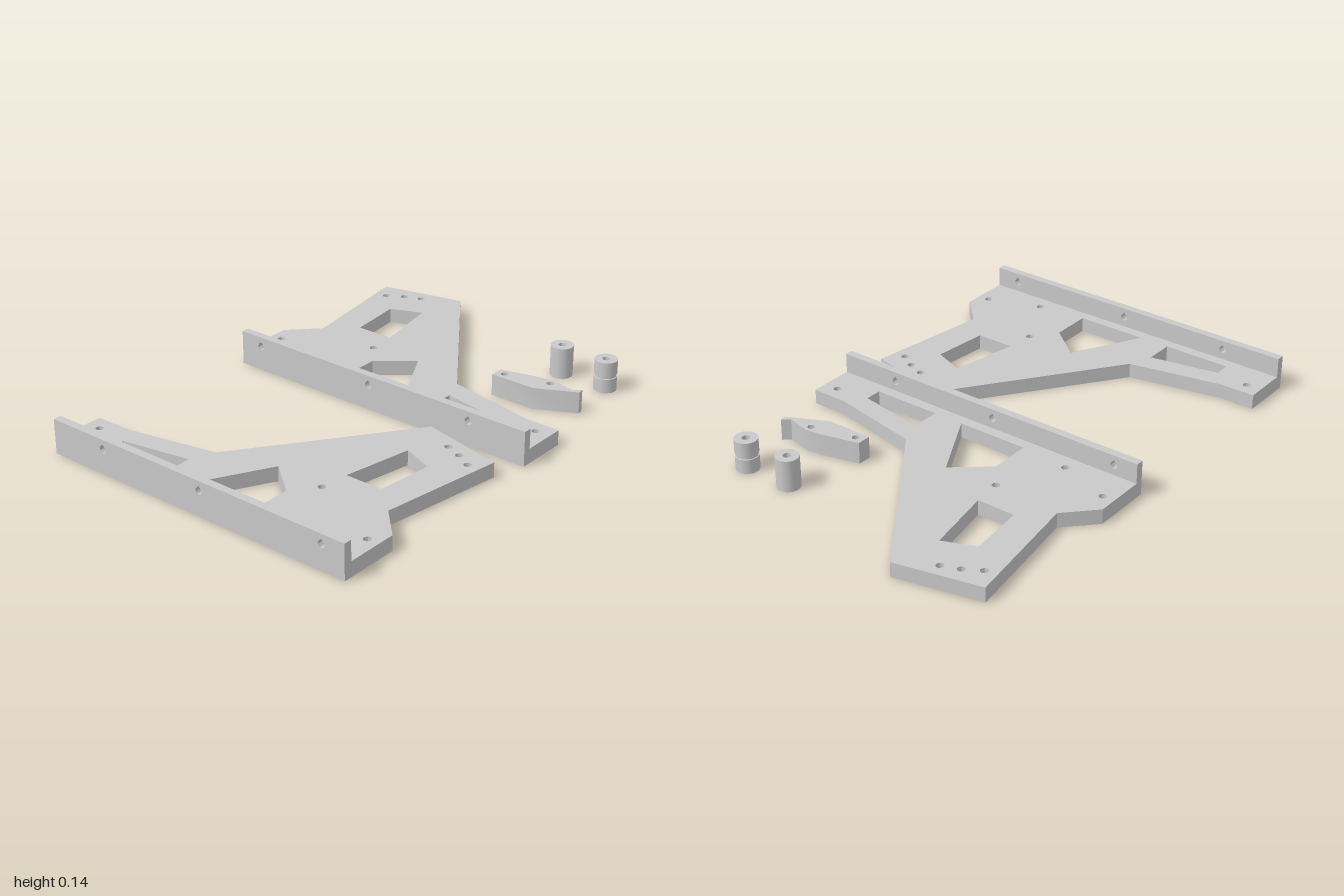
import * as THREE from 'three';
import { toCreasedNormals } from 'three/addons/utils/BufferGeometryUtils.js';

const PLATE = 0.062, FLANGE_H = 0.145, FLANGE_T = 0.034;
const Z_FRONT = -0.028;      // front face of the rear bracket
const PAIR_OFFSET = 1.028;   // distance between the two brackets

export function createModel() {
  const grey = new THREE.MeshStandardMaterial({ color: 0xc9c9c9 });
  grey.name = 'grey plastic';
  const model = new THREE.Group();
  model.name = 'bracketSet';

  const add = (parent, name, geometry) => {
    const mesh = new THREE.Mesh(toCreasedNormals(geometry, 0.6), grey);
    mesh.name = name;
    parent.add(mesh);
    return mesh;
  };
  const polygon = (points) => points.map(([x, y]) => new THREE.Vector2(x, y));
  const circle = (x, y, r) => new THREE.Path().absarc(x, y, r, 0, Math.PI * 2, true);
  const extrude = (shape, depth) =>
    new THREE.ExtrudeGeometry(shape, { depth, bevelEnabled: false, curveSegments: 24 });
  // Outline given as (x, z), extruded upwards from the ground
  const slab = (outline, windows, holes, r, height, side = 1) => {
    const flip = (pts) => pts.map(([x, z]) => [x * side, -z]);
    const border = polygon(flip(outline));
    // A counter-clockwise border keeps the hole walls facing inwards
    if (THREE.ShapeUtils.isClockWise(border)) border.reverse();
    const shape = new THREE.Shape(border);
    windows.forEach((w) => shape.holes.push(new THREE.Path(polygon(flip(w)))));
    flip(holes).forEach(([x, y]) => shape.holes.push(circle(x, y, r)));
    return extrude(shape, height).rotateX(-Math.PI / 2);
  };

  // Mirrored pair of brackets: pierced plate with an upright flange
  const plateEnd = Z_FRONT - FLANGE_T;
  const outline = [
    [-0.67, -0.92], [-0.317, -1], [0.17, -0.33], [0.56, -0.252], [0.708, -0.252],
    [0.708, plateEnd], [-0.708, plateEnd], [-0.708, -0.28], [-0.592, -0.4],
  ];
  const windows = [
    [[-0.501, -0.74], [-0.368, -0.793], [-0.315, -0.504], [-0.476, -0.504]],
    [[-0.224, -0.28], [-0.08, -0.398], [0.077, -0.107], [-0.224, -0.107]],
    [[0.208, -0.229], [0.497, -0.177], [0.497, -0.107], [0.208, -0.107]],
  ];
  const holes = [
    [-0.606, -0.843], [-0.538, -0.883], [-0.466, -0.911], [-0.303, -0.383],
    [-0.658, -0.207], [-0.434, -0.128], [0.644, -0.192],
  ];
  for (const [name, side, dz] of [['rearBracket', 1, 0], ['frontBracket', -1, PAIR_OFFSET]]) {
    const bracket = new THREE.Group();
    bracket.name = name;
    bracket.position.z = dz;
    model.add(bracket);
    add(bracket, 'plate', slab(outline, windows, holes, 0.0155, PLATE, side));

    const face = new THREE.Shape(polygon(
      [[-0.708, 0], [0.708, 0], [0.708, FLANGE_H], [-0.708, FLANGE_H]]));
    // Teardrop screw holes
    for (const x of [0.447, -0.04, -0.606]) {
      const drop = new THREE.Path();
      drop.absarc(x * side, 0.104, 0.015, Math.PI * 0.75, Math.PI * 2.25, false);
      drop.lineTo(x * side, 0.125);
      drop.closePath();
      face.holes.push(drop);
    }
    add(bracket, 'flange', extrude(face, FLANGE_T)).position.z = plateEnd;
  }

  // Small lever with a hooked tip
  add(model, 'lever', slab(
    [[0.261, -0.498], [0.422, -0.538], [0.487, -0.546], [0.588, -0.522], [0.618, -0.547],
      [0.622, -0.522], [0.457, -0.44], [0.261, -0.44]],
    [], [[0.299, -0.473], [0.487, -0.517]], 0.015, 0.091));

  // Hollow spacers, one plain and one grooved
  const R = 0.047, BORE = 0.016, H = 0.132, NECK = 0.043;
  const groove = [[R, 0.06], [NECK, 0.061], [NECK, 0.073], [R, 0.074]];
  for (const [name, x, middle] of [['plainSpacer', 0.367, []], ['groovedSpacer', 0.578, groove]]) {
    const profile = polygon([[BORE, 0], [R, 0], ...middle, [R, H], [BORE, H], [BORE, 0]]);
    add(model, name, new THREE.LatheGeometry(profile, 40)).position.set(x, 0, -0.777);
  }
  return model;
}
